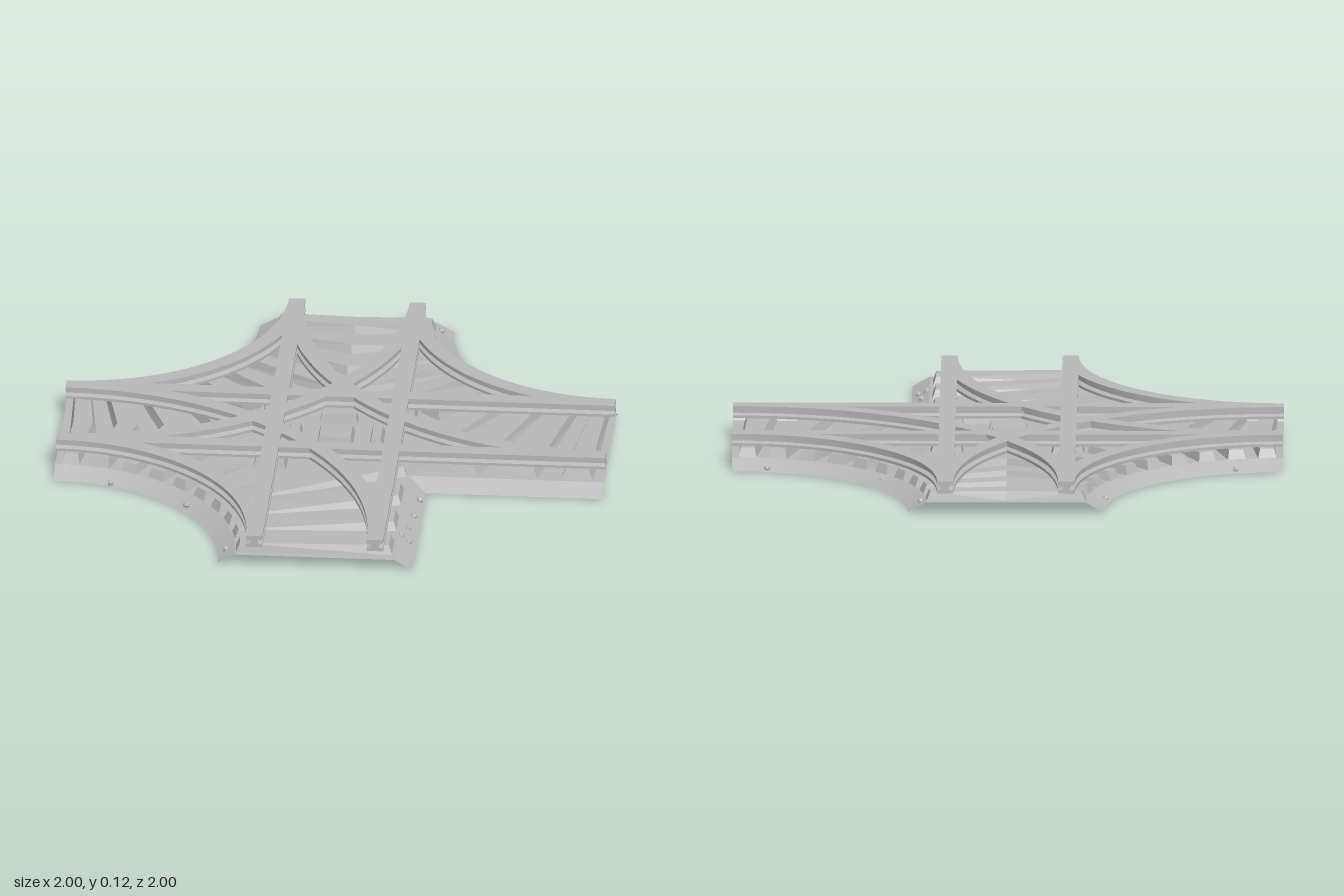
import * as THREE from 'three';
import { toCreasedNormals } from 'three/addons/utils/BufferGeometryUtils.js';

const BED_Y = 0.037, SLEEPER_Y = 0.07, RAIL_Y = 0.115, GAUGE = 0.22;
// corners joined by a curved track: sign of x, sign of z, start angle of the arc
const CURVES = [[-1, -1, 0], [1, -1, -Math.PI / 2], [-1, 1, Math.PI / 2]];

export function createModel() {
  const group = new THREE.Group();
  const grey = new THREE.MeshStandardMaterial({ color: 0xb8b8b8, name: 'grey' });
  const greySheet = grey.clone();
  greySheet.side = THREE.DoubleSide;
  const add = (geo, name, x = 0, y = 0, z = 0, mat = grey) => {
    const mesh = new THREE.Mesh(geo, mat);
    mesh.name = name;
    mesh.position.set(x, y, z);
    group.add(mesh);
    return mesh;
  };

  // Edge of the bed at one inner corner, half = half width of the arms
  const cornerEdge = (sx, sz, half) => {
    if (sx > 0 && sz > 0) return [[half, 1], [half, half], [1, half]];
    const pts = [];
    for (let i = 0; i <= 24; i++) {
      const t = (i / 24) * Math.PI / 2, r = 1 - half;
      pts.push([sx * (1 - r * Math.cos(t)), sz * (1 - r * Math.sin(t))]);
    }
    return sx * sz > 0 ? pts : pts.reverse();
  };

  // Ballast bed: thin flat top with sloping shoulders, open underneath
  const outline = [];
  for (const [sx, sz] of [[1, 1], [1, -1], [-1, -1], [-1, 1]]) {
    const top = cornerEdge(sx, sz, 0.29), foot = cornerEdge(sx, sz, 0.355);
    outline.push(...top.map(([x, z]) => new THREE.Vector2(x, -z)));
    const pos = [];
    for (let i = 0; i < top.length - 1; i++) {
      const a = [top[i][0], BED_Y, top[i][1]], b = [top[i + 1][0], BED_Y, top[i + 1][1]];
      const c = [foot[i][0], 0, foot[i][1]], d = [foot[i + 1][0], 0, foot[i + 1][1]];
      pos.push(...a, ...c, ...b, ...b, ...c, ...d);
    }
    const slope = new THREE.BufferGeometry();
    slope.setAttribute('position', new THREE.Float32BufferAttribute(pos, 3));
    slope.computeVertexNormals();
    add(toCreasedNormals(slope, 0.5), 'bedShoulder', 0, 0, 0, greySheet);
  }
  const bed = new THREE.ShapeGeometry(new THREE.Shape(outline));
  bed.rotateX(-Math.PI / 2);
  add(bed, 'bedTop', 0, BED_Y, 0, greySheet);

  // I-shaped rail section, counterclockwise
  const half = [[0.03, 0.07], [0.03, 0.08], [0.012, 0.086], [0.012, 0.097], [0.03, 0.101], [0.03, RAIL_Y]];
  const section = [...half, ...half.map(([x, y]) => [-x, y]).reverse()]
    .map(([x, y]) => new THREE.Vector2(x, y));

  // Straight rails in both directions
  for (const s of [-1, 1]) {
    const geo = new THREE.ExtrudeGeometry(new THREE.Shape(section), { depth: 2, bevelEnabled: false });
    geo.translate(0, 0, -1);
    add(geo, 'straightRail', s * GAUGE);
    add(geo, 'straightRail', 0, 0, s * GAUGE).rotation.y = Math.PI / 2;
  }

  // Curved rails
  for (const [sx, sz, phi] of CURVES) {
    for (const r of [1 - GAUGE, 1 + GAUGE]) {
      const loop = [...section, section[0]].map(p => new THREE.Vector2(p.x + r, p.y));
      const geo = new THREE.LatheGeometry(loop, 36, phi, Math.PI / 2);
      add(toCreasedNormals(geo, 0.3), 'curvedRail', sx, 0, sz);
    }
  }

  // Tapered sleepers fanning out from the centre of each curve
  const rad = Math.PI / 180;
  for (const [sx, sz] of CURVES) {
    const limitX = sz > 0 ? 1.28 : 1, limitZ = sx > 0 ? 1.28 : 1;
    for (let i = 0; i < 10; i++) {
      const mid = 4.5 + 9 * i;
      const geo = new THREE.BoxGeometry(1, 1, 1).toNonIndexed();
      const p = geo.attributes.position;
      for (let k = 0; k < p.count; k++) {
        const top = p.getY(k) > 0;
        const t = (mid + Math.sign(p.getZ(k)) * (top ? 2 : 2.7)) * rad;
        const limit = mid < 35 ? limitX : limitZ;
        let end = 1.04;
        if (mid < 35) end = limitX / Math.cos(t);
        else if (mid > 55) end = limitZ / Math.sin(t);
        if (limit > 1 && top) end -= 0.012;
        const r = p.getX(k) > 0 ? end : (top ? 0.727 : 0.712);
        p.setXYZ(k, sx * (1 - r * Math.cos(t)), top ? SLEEPER_Y : BED_Y - 0.002, sz * (1 - r * Math.sin(t)));
      }
      // keep faces outward where the fan is not mirrored
      if (sx * sz > 0) {
        const v = new THREE.Vector3(), w = new THREE.Vector3();
        for (let k = 0; k < p.count; k += 3) {
          v.fromBufferAttribute(p, k + 1);
          w.fromBufferAttribute(p, k + 2);
          p.setXYZ(k + 1, w.x, w.y, w.z);
          p.setXYZ(k + 2, v.x, v.y, v.z);
        }
      }
      // the fan itself may be wound inwards, so check the top face
      geo.computeVertexNormals();
      const n = geo.attributes.normal;
      let up = 0;
      for (let k = 0; k < p.count; k++) if (p.getY(k) > 0.06) up += n.getY(k);
      if (up < 0) {
        const idx = [];
        for (let k = 0; k < p.count; k += 3) idx.push(k, k + 2, k + 1);
        geo.setIndex(idx);
        add(geo.toNonIndexed(), 'sleeper').geometry.computeVertexNormals();
      } else add(geo, 'sleeper');
    }
  }

  // Blocks with sloping sides in the middle of the crossing
  const block = (name, w, d, x, z) => {
    const geo = new THREE.BoxGeometry(w, SLEEPER_Y - BED_Y, d).toNonIndexed();
    const p = geo.attributes.position;
    for (let k = 0; k < p.count; k++) if (p.getY(k) > 0) {
      p.setX(k, p.getX(k) - Math.sign(p.getX(k)) * 0.008);
      p.setZ(k, p.getZ(k) - Math.sign(p.getZ(k)) * 0.008);
    }
    geo.computeVertexNormals();
    add(geo, name, x, (SLEEPER_Y + BED_Y) / 2, z);
  };
  block('centreBlock', 0.13, 0.13, 0, 0);
  for (const s of [-1, 1]) {
    block('crossingBlock', 0.05, 0.14, s * 0.15, 0);
    block('crossingBlock', 0.14, 0.05, 0, s * 0.15);
    for (const q of [-1, 1]) block('crossingBlock', 0.12, 0.12, s * GAUGE, q * GAUGE);
  }

  // Scattered stones: x, z, height
  const stones = [
    [-0.83, -0.36, 0.01], [-0.36, -0.82, 0.01], [0.31, -0.95, 0.03], [0.45, -0.58, 0.02], [0.87, -0.35, 0.01],
    [-0.53, -0.31, 0.04], [0.43, -0.08, 0.04], [-0.97, 0.09, 0.04], [-0.85, 0.08, 0.04], [-0.56, 0.27, 0.04],
    [-0.79, 0.38, 0.01], [-0.5, 0.56, 0.02], [-0.33, 0.92, 0.02], [0.34, 0.44, 0.012], [0.33, 0.58, 0.016],
    [0.32, 0.7, 0.022], [0.3, 0.78, 0.033], [0.33, 0.8, 0.016], [0.09, 0.76, 0.04]];
  const stone = new THREE.IcosahedronGeometry(0.013, 0);
  stones.forEach(([x, z, y], i) => { add(stone, 'stone', x, y, z).rotation.set(i, i * 2, 0); });

  return group;
}
